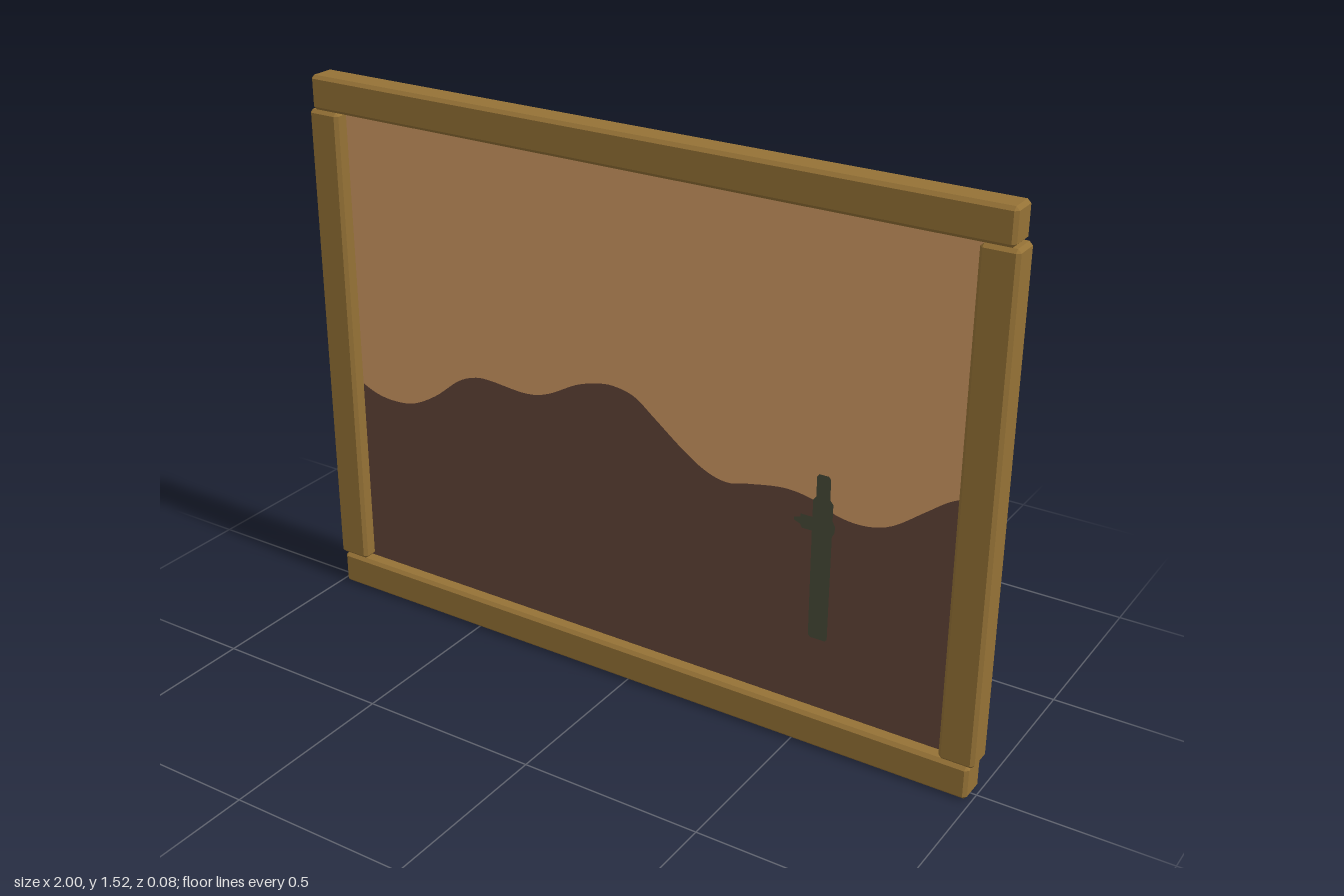
import * as THREE from 'three';
import { ConvexGeometry } from 'three/addons/geometries/ConvexGeometry.js';

export function createModel() {
  const model = new THREE.Group();
  model.name = 'framedLandscape';

  const mat = (name, color, extra = {}) => {
    const m = new THREE.MeshStandardMaterial({ color, ...extra });
    m.name = name;
    return m;
  };
  const wood = mat('wood', 0x957236);
  const sky = mat('sky', 0xd39b65, { side: THREE.DoubleSide });
  const earth = mat('earth', 0x634538, { side: THREE.DoubleSide });
  const green = mat('cactusGreen', 0x484b39, { side: THREE.DoubleSide });

  const add = (name, geometry, material, x = 0, y = 0, z = 0) => {
    const mesh = new THREE.Mesh(geometry, material);
    mesh.name = name;
    mesh.position.set(x, y, z);
    model.add(mesh);
  };

  // Box with every edge cut by a flat chamfer c
  const chamferBox = (w, h, d, c) => {
    const points = [];
    for (const sx of [-0.5, 0.5]) for (const sy of [-0.5, 0.5]) for (const sz of [-0.5, 0.5]) {
      const corner = new THREE.Vector3(sx * w, sy * h, sz * d);
      const inset = new THREE.Vector3(sx, sy, sz).multiplyScalar(2 * c);
      for (const axis of ['x', 'y', 'z']) {
        const p = corner.clone().sub(inset);
        p[axis] = corner[axis];
        points.push(p);
      }
    }
    return new ConvexGeometry(points);
  };

  // Frame: two beams with two posts standing between them
  const beam = (name, w, h, x, y) => add(name, chamferBox(w, h, 0.08, 0.009), wood, x, y);
  beam('topBeam', 1.975, 0.093, 0, 1.4715);
  beam('bottomBeam', 1.975, 0.094, 0, 0.047);
  beam('leftPost', 0.095, 1.331, 0.9525, 0.7595);
  beam('rightPost', 0.095, 1.331, -0.9525, 0.7595);

  // Skyline of the hills, shared by the sky and the ground
  const toPoints = (list) => list.map(([x, y]) => new THREE.Vector2(x, y));
  const ridge = new THREE.SplineCurve(toPoints([
    [-0.94, 0.665], [-0.906, 0.642], [-0.848, 0.62], [-0.783, 0.615], [-0.72, 0.626],
    [-0.644, 0.668], [-0.57, 0.727], [-0.516, 0.752], [-0.463, 0.758], [-0.345, 0.749],
    [-0.27, 0.765], [-0.179, 0.813], [-0.11, 0.834], [-0.06, 0.838], [0, 0.824],
    [0.06, 0.78], [0.142, 0.717], [0.211, 0.674], [0.275, 0.658], [0.34, 0.672],
    [0.436, 0.688], [0.516, 0.679], [0.586, 0.652], [0.66, 0.647], [0.73, 0.668],
    [0.81, 0.727], [0.864, 0.768], [0.906, 0.79], [0.94, 0.805],
  ])).getPoints(120);
  const areaTo = (y) => new THREE.ShapeGeometry(new THREE.Shape([
    ...ridge, new THREE.Vector2(0.94, y), new THREE.Vector2(-0.94, y),
  ]));
  const skyArea = areaTo(1.47);
  const groundArea = areaTo(0.05);

  // Cactus with a narrow tip and one short arm
  const cactus = new THREE.ShapeGeometry(new THREE.Shape(toPoints([
    [0.52, 0.3], [0.527, 0.294], [0.567, 0.294], [0.573, 0.3],
    [0.573, 0.592], [0.58, 0.605], [0.58, 0.622], [0.573, 0.635],
    [0.573, 0.68], [0.564, 0.69], [0.564, 0.744], [0.558, 0.752],
    [0.532, 0.752], [0.526, 0.744], [0.526, 0.69], [0.518, 0.68],
    [0.518, 0.632], [0.485, 0.632], [0.485, 0.624], [0.468, 0.618],
    [0.468, 0.61], [0.485, 0.604], [0.49, 0.594], [0.518, 0.594],
  ])));

  // Picture on both faces of the panel, with the cactus just proud of each
  for (const [side, z, out] of [['front', 0.001, 0.001], ['back', -0.03, -0.001]]) {
    add(side + 'Sky', skyArea, sky, 0, 0, z);
    add(side + 'Ground', groundArea, earth, 0, 0, z);
    add(side + 'Cactus', cactus, green, 0, 0, z + out);
  }

  return model;
}
